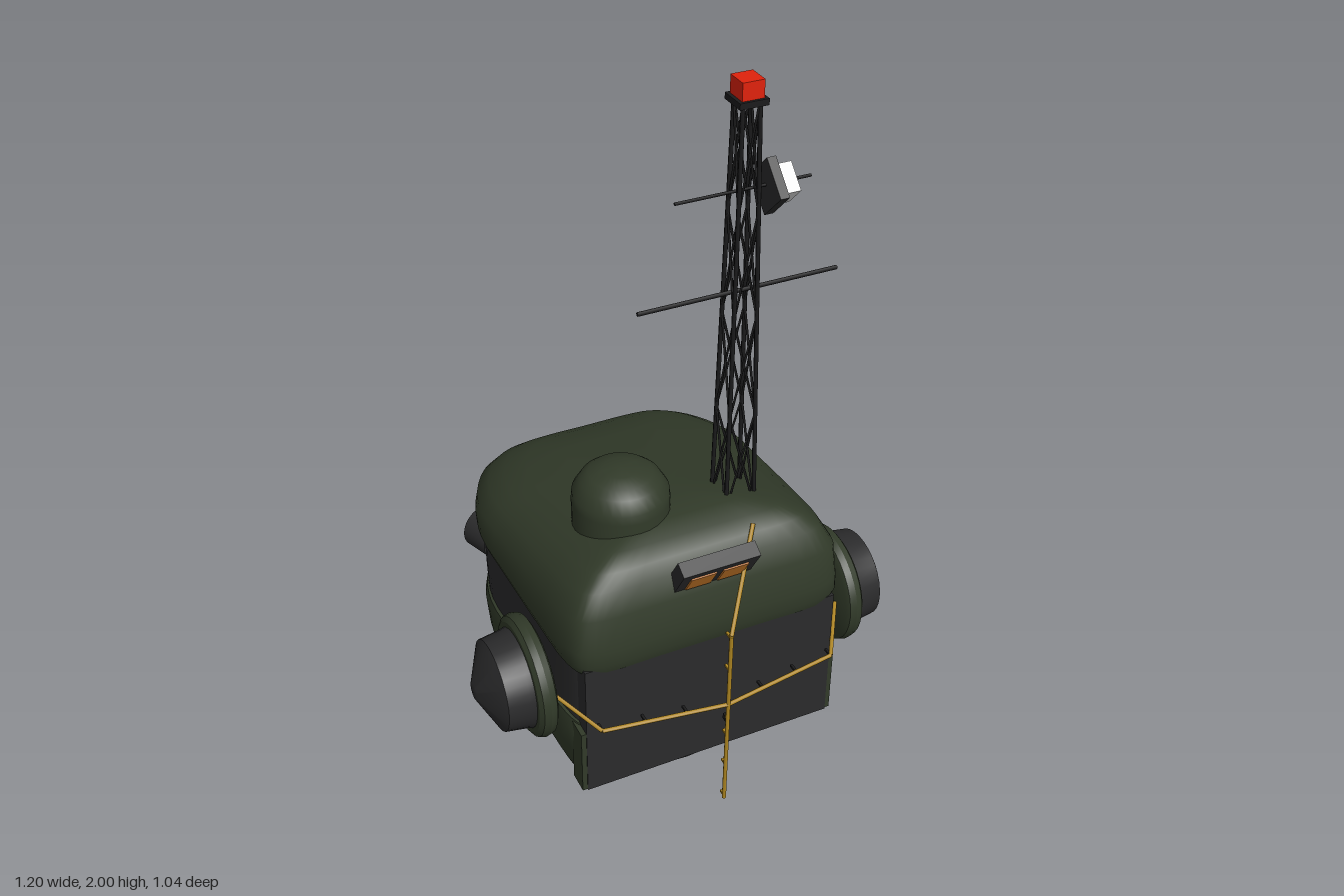
import * as THREE from 'three';
import { toCreasedNormals } from 'three/addons/utils/BufferGeometryUtils.js';

const mat = (name, color) => {
  const m = new THREE.MeshStandardMaterial({ color });
  m.name = name;
  return m;
};

export function createModel() {
  const green = mat('olive green', 0x313a29);
  const dark = mat('dark grey', 0x2b2b2c);
  const black = mat('mast black', 0x1b1b1c);
  const red = mat('beacon red', 0xe0220c);
  const pale = mat('pale grey', 0xe2e2e2);
  const amber = mat('amber', 0xc47628);
  const gold = mat('cable gold', 0xac8420);

  const root = new THREE.Group();
  root.name = 'turretHead';
  const V = (x, y, z) => new THREE.Vector3(x, y, z);

  const add = (name, geo, material, pos = [0, 0, 0], rot = [0, 0, 0], parent = root) => {
    const m = new THREE.Mesh(geo, material);
    m.name = name;
    m.position.set(...pos);
    m.rotation.set(...rot);
    parent.add(m);
    return m;
  };
  const box = (name, size, material, pos, rot, parent) =>
    add(name, new THREE.BoxGeometry(...size), material, pos, rot, parent);
  // Turned part about y from [radius, height] pairs, bottom to top
  const turned = (pts, seg = 32) => toCreasedNormals(
    new THREE.LatheGeometry(pts.map(p => new THREE.Vector2(...p)), seg), 0.5);
  // Straight rod between two points
  const rod = (name, a, b, r, material, sides = 5, parent = root) => {
    const d = b.clone().sub(a);
    const m = add(name, new THREE.CylinderGeometry(r, r, d.length(), sides), material,
      a.clone().add(b).multiplyScalar(0.5).toArray(), [0, 0, 0], parent);
    m.quaternion.setFromUnitVectors(V(0, 1, 0), d.normalize());
    return m;
  };

  // Plan outline of the head: square front, rounded rear
  const half = [[0, .425], [.16, .425], [.31, .424], [.365, .405], [.388, .35], [.4, .18], [.408, -.05],
    [.41, -.2], [.38, -.32], [.32, -.42], [.25, -.468], [.17, -.48], [0, -.48]];
  const plan = half.concat(half.slice(1, -1).reverse().map(([x, z]) => [-x, z]));
  const outline = new THREE.CatmullRomCurve3(plan.map(([x, z]) => V(x, 0, z)), true).getPoints(72).slice(0, -1);

  // Rings: [width scale, front z, back z, front y, back y], bottom to top
  const loft = (rings, isDark = () => false) => {
    const pos = [], parts = [[], []], n = outline.length;
    for (const [s, zF, zB, yF, yB] of rings) for (const p of outline) {
      const t = (p.z + .48) / .905;
      pos.push(p.x * s, yB + t * (yF - yB), zB + t * (zF - zB));
    }
    for (let i = 0; i < rings.length - 1; i++) for (let j = 0; j < n; j++) {
      const a = i * n + j, b = i * n + (j + 1) % n;
      parts[isDark(i, pos[a * 3 + 2]) ? 1 : 0].push(a, b, b + n, a, b + n, a + n);
    }
    const g = new THREE.BufferGeometry();
    g.setAttribute('position', new THREE.Float32BufferAttribute(pos, 3));
    g.setIndex(parts.flat());
    g.addGroup(0, parts[0].length, 0);
    g.addGroup(parts[0].length, parts[1].length, 1);
    return toCreasedNormals(g, 0.65);
  };

  // Head: domed upper shell, recessed band, lower shell with a dark rear chin
  add('upperShell', loft([
    [.9, .38, -.43, .59, .6], [.98, .415, -.46, .57, .59], [1, .425, -.47, .6, .61], [1, .424, -.475, .64, .63],
    [.98, .412, -.47, .74, .66], [.9, .385, -.445, .8, .695], [.8, .36, -.41, .835, .725], [.66, .32, -.36, .86, .752],
    [.42, .26, -.25, .874, .788], [.2, .18, -.06, .868, .828], [0, .1, .1, .858, .858]]), [green, dark]);
  add('middleBand', loft([[.95, .4, -.44, .3, .3], [.95, .405, -.46, .46, .46], [.95, .405, -.46, .61, .61]]), dark);
  const chinStart = [-9, -.12, -.16, -.24, -.4, -.425, -.425];
  add('lowerShell', loft([
    [0, 0, 0, .145, .145], [.82, .35, -.36, .145, .145], [.9, .39, -.41, .157, .157], [.93, .4, -.43, .185, .185],
    [.97, .405, -.437, .27, .27], [.985, .405, -.44, .345, .345], [.97, .4, -.437, .38, .38], [.9, .37, -.4, .39, .39]],
    (i, z) => z < chinStart[i]), [green, dark]);
  box('frontPanel', [.72, .415, .05], dark, [0, .38, .389]);
  // Green cheeks closing the sides of the front panel
  for (const s of [-1, 1]) box('frontCheek', [.02, .2, .06], green, [s * .364, .275, .382]);

  // Round base and neck with lugs
  add('base', turned([[0, 0], [.235, 0], [.25, .015], [.25, .07], [.235, .088], [0, .088]], 40), dark, [0, 0, .03]);
  add('neck', new THREE.CylinderGeometry(.21, .21, .1, 32), black, [0, .115, .03]);
  for (let i = 0; i < 8; i++) {
    const a = i * Math.PI / 4;
    box('neckLug', [.06, .045, .035], dark, [Math.sin(a) * .213, .125, .03 + Math.cos(a) * .213], [0, a, 0]);
  }

  // Side pods: green collar with a dark pointed drum
  for (const s of [-1, 1]) {
    const pod = new THREE.Group();
    pod.name = s > 0 ? 'leftPod' : 'rightPod';
    pod.position.set(0, .47, .235);
    pod.rotation.z = -s * Math.PI / 2;
    root.add(pod);
    add('podCollar', turned([[0, .423], [.15, .423], [.163, .43], [.168, .448], [.163, .466], [.15, .475], [0, .475]]),
      green, [0, 0, 0], [0, 0, 0], pod);
    add('podDrum', turned([[.137, .47], [.132, .49], [.124, .547], [.025, .597], [0, .6]]), dark, [0, 0, 0], [0, 0, 0], pod);
  }

  // Roof hatch
  add('roofHatch', turned([[.128, .78], [.128, .9], [.126, .925], [.105, .96], [.083, .978], [.045, .989], [0, .994]]),
    green, [-.142, 0, .155]);

  // Tilted front lamp box
  const lampBox = new THREE.Group();
  lampBox.name = 'frontLampBox';
  lampBox.position.set(0, .802, .408);
  lampBox.rotation.x = .55;
  root.add(lampBox);
  box('lampHousing', [.215, .115, .042], dark, [0, 0, 0], [0, 0, 0], lampBox);
  for (const x of [-.045, .045])
    box('lampPane', [.07, .068, .006], amber, [x, -.002, .022], [0, 0, 0], lampBox);
  box('lampBracket', [.05, .04, .07], dark, [0, .79, .36]);

  // Rear lamp cluster
  box('rearLampMount', [.6, .13, .08], dark, [0, .46, -.43]);
  const drum = (r, d) => turned([[r, 0], [r, d - .025], [r * .93, d - .012], [r * .78, d - .014], [0, d]]);
  add('rearCentreLamp', drum(.115, .1), dark, [0, .46, -.42], [-Math.PI / 2, 0, 0]);
  for (const s of [-1, 1]) {
    add('rearSmallLamp', drum(.084, .085), dark, [s * .195, .455, -.42], [-Math.PI / 2, 0, 0]);
    const lamp = new THREE.Group();
    lamp.name = 'rearAmberLamp';
    lamp.position.set(s * .32, .47, -.365);
    lamp.rotation.set(-Math.PI / 2, 0, -s * .28);
    root.add(lamp);
    add('amberLampShell', new THREE.CylinderGeometry(.068, .062, .09, 24), dark, [0, 0, 0], [0, 0, 0], lamp);
    add('amberLens', new THREE.CylinderGeometry(.061, .061, .004, 24), amber, [0, .046, 0], [0, 0, 0], lamp);
  }

  // Lattice mast: four tapering legs with crossed bracing
  const mast = new THREE.Group();
  mast.name = 'mast';
  mast.position.set(.165, 0, .19);
  root.add(mast);
  const y0 = .82, y1 = 1.95, bays = 4;
  const corner = (k, t) => {
    const w = .041 - .019 * t;
    return V([1, -1, -1, 1][k % 4] * w, y0 + (y1 - y0) * t, [1, 1, -1, -1][k % 4] * w);
  };
  for (let k = 0; k < 4; k++) {
    rod('mastLeg', corner(k, 0), corner(k, 1), .006, black, 5, mast);
    for (let i = 0; i < bays; i++) {
      rod('mastBrace', corner(k, i / bays), corner(k + 1, (i + 1) / bays), .0035, black, 4, mast);
      rod('mastBrace', corner(k + 1, i / bays), corner(k, (i + 1) / bays), .0035, black, 4, mast);
    }
  }
  box('mastCap', [.075, .016, .075], black, [0, 1.947, 0], [0, 0, 0], mast);
  box('beacon', [.057, .046, .06], red, [0, 1.977, 0], [0, 0, 0], mast);
  rod('lowerAerial', V(-.275, 1.45, 0), V(.27, 1.45, 0), .0055, black, 6, mast);
  rod('upperAerial', V(-.18, 1.72, 0), V(.18, 1.72, 0), .004, black, 6, mast);
  box('antennaPlate', [.024, .106, .106], dark, [.07, 1.715, 0], [Math.PI / 4, 0, 0], mast);
  box('antennaFace', [.042, .076, .076], pale, [.103, 1.715, 0], [Math.PI / 4, 0, 0], mast);

  // Gold cable runs with small stand-offs
  const run = (name, pts) => {
    for (let i = 0; i < pts.length - 1; i++) rod(name, V(...pts[i]), V(...pts[i + 1]), .0058, gold, 8);
  };
  run('uprightCable', [[.14, .855, .35], [0, .657, .513], [0, .07, .505]]);
  run('crossCable', [[-.42, .475, .33], [-.335, .42, .46], [0, .42, .51], [.335, .42, .46], [.42, .475, .33]]);
  for (const y of [.08, .2, .31, .54, .65]) box('standOff', [.007, .007, .02], gold, [0, y, .498]);
  box('cableClamp', [.01, .018, .014], black, [0, .365, .498]);
  for (const x of [-.335, -.22, -.11, .11, .22, .335])
    box('standOff', [.007, .007, .022], black, [x, .42, .494 - Math.abs(x) * .15]);

  return root;
}
